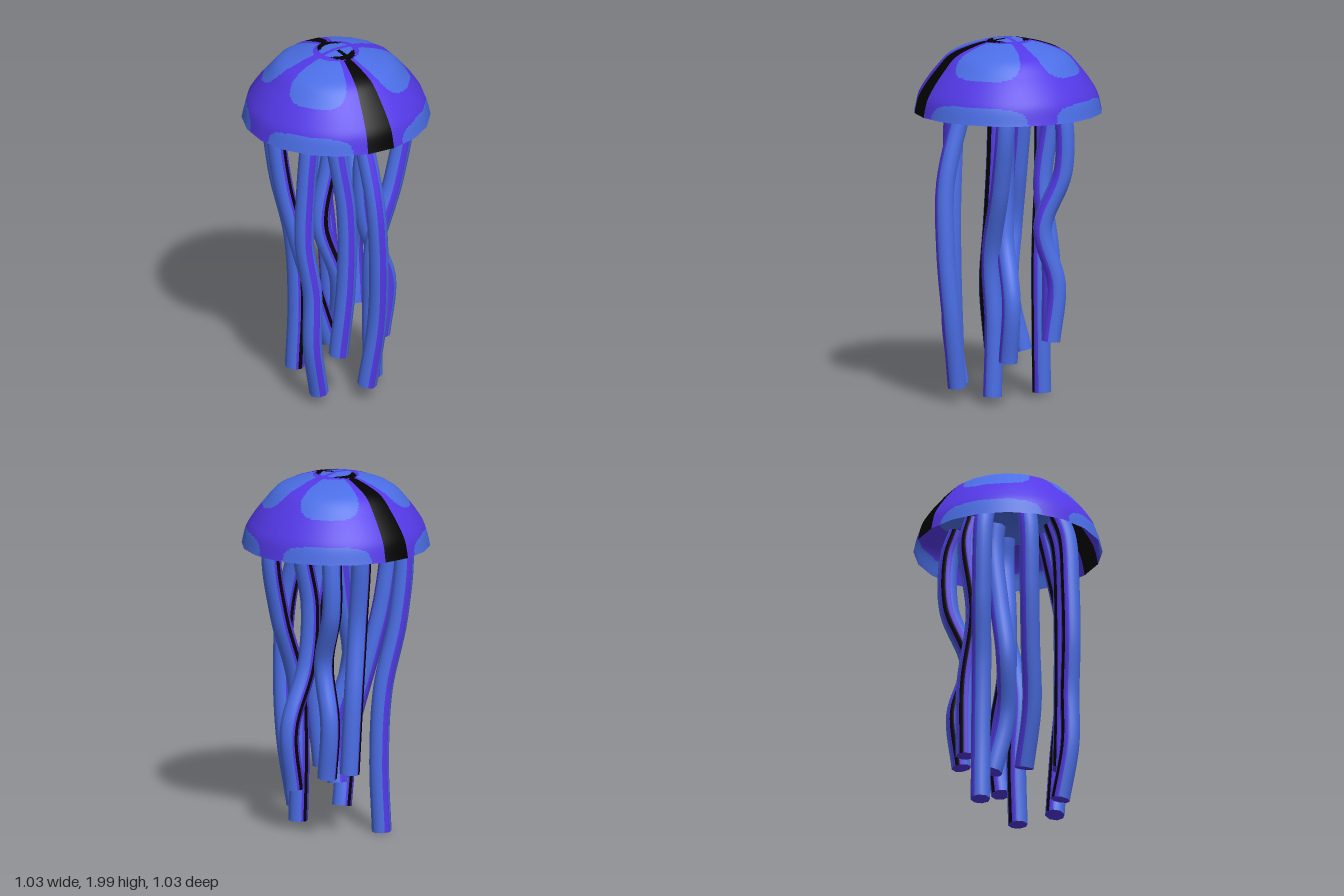
import * as THREE from 'three';

const mats = [
  new THREE.MeshStandardMaterial({ name: 'blue', color: 0x4b6ee6, side: THREE.DoubleSide }),
  new THREE.MeshStandardMaterial({ name: 'purple', color: 0x5439e8, side: THREE.DoubleSide }),
  new THREE.MeshStandardMaterial({ name: 'black', color: 0x020202, side: THREE.DoubleSide }),
];
const BLUE = 0, PURPLE = 1, BLACK = 2;

// Grid surface running downward by rows and around by columns; colourAt picks each face's material.
function gridSurface(name, rows, cols, vertexAt, colourAt) {
  const pos = [], nor = [], lists = [[], [], []];
  for (let i = 0; i <= rows; i++) for (let j = 0; j <= cols; j++) {
    const [p, n] = vertexAt(i / rows, j);
    pos.push(p.x, p.y, p.z);
    nor.push(n.x, n.y, n.z);
  }
  for (let i = 0; i < rows; i++) for (let j = 0; j < cols; j++) {
    const a = i * (cols + 1) + j, b = a + cols + 1;
    lists[colourAt((i + 0.5) / rows, j)].push(a, b, b + 1, a, b + 1, a + 1);
  }
  const geo = new THREE.BufferGeometry();
  geo.setAttribute('position', new THREE.Float32BufferAttribute(pos, 3));
  geo.setAttribute('normal', new THREE.Float32BufferAttribute(nor, 3));
  geo.setIndex(lists.flat());
  let start = 0;
  lists.forEach((l, k) => { geo.addGroup(start, l.length, k); start += l.length; });
  const mesh = new THREE.Mesh(geo, mats);
  mesh.name = name;
  return mesh;
}

// Point on a regular polygon with flat sides, each split into 'split' columns
function polygonPoint(sides, split, j) {
  const step = (2 * Math.PI) / sides, k = Math.floor(j / split), t = (j % split) / split;
  const a = k * step, b = a + step;
  return [
    Math.sin(a) * (1 - t) + Math.sin(b) * t,
    Math.cos(a) * (1 - t) + Math.cos(b) * t,
    a + step * t,
  ];
}

// Crown pattern: black arcs front and back around four small blue patches
function crownColour(x, z) {
  if ((x / 0.088) ** 2 + (z / 0.125) ** 2 > 1) return PURPLE;
  if (Math.abs(z) > 0.085 - Math.abs(x) * 0.4) return BLACK;
  if (Math.abs(x) < 0.012 && z > 0.02) return BLACK;
  return Math.abs(z) < 0.012 ? PURPLE : BLUE;
}

// Bell: a 20-sided dome with a fourfold blob pattern
function makeBell() {
  const profile = new THREE.CatmullRomCurve3(
    [[0, 2], [0.11, 1.988], [0.21, 1.963], [0.32, 1.915], [0.395, 1.835], [0.455, 1.755], [0.492, 1.69], [0.515, 1.596]]
      .map(([r, y]) => new THREE.Vector3(r, y, 0)));
  const split = 16, sides = 20;
  const blob = (a, c, w, t) => Math.abs((a - c) / w) ** 3.5 + Math.abs(t) ** 3.5 < 1;
  return gridSurface('bell', 84, sides * split, (v, j) => {
    const p = profile.getPoint(v), t = profile.getTangent(v);
    if (v === 0) t.set(1, 0, 0);
    const [x, z, ang] = polygonPoint(sides, split, j);
    return [
      new THREE.Vector3(x * p.x, p.y, z * p.x),
      new THREE.Vector3(-t.y * Math.sin(ang), t.x, -t.y * Math.cos(ang)),
    ];
  }, (v, j) => {
    const { x: r, y } = profile.getPoint(v);
    const theta = ((j + 0.5) / (sides * split)) * 2 * Math.PI;
    if (r < 0.125) return crownColour(r * Math.sin(theta), r * Math.cos(theta));
    const a = (540 - theta * 180 / Math.PI) % 180;
    if (a < 18) return BLACK;
    // upper blobs and scallops along the rim
    const up = r < 0.25 ? (r - 0.25) / 0.18 : (r - 0.25) / 0.157, low = (y - 1.58) / 0.11;
    for (const [c, w] of [[56, 29], [138, 34]]) {
      if (blob(a, c, w, up) || blob(a, c, w, low)) return BLUE;
    }
    return PURPLE;
  });
}

// Tentacle: an eight-sided tube with lengthwise stripes
const R = 0.054, COLUMNS = 24;

function stripeColour(k) {
  if (k === 11 || k === 12) return BLACK;
  if (k === 0 || k === 10 || k === 13 || k === 14 || k > 21) return PURPLE;
  return BLUE;
}

// bends holds x, z pairs, spaced evenly in height from the bell's rim to the tip
function makeTentacle(shift, tipY, ...bends) {
  const rimY = 1.6, last = bends.length / 2 - 1;
  const points = [new THREE.Vector3(bends[0] * 0.85, 1.75, bends[1] * 0.85)];
  for (let i = 0; i <= last; i++) {
    points.push(new THREE.Vector3(bends[2 * i], rimY + (tipY - rimY) * (i / last), bends[2 * i + 1]));
  }
  const curve = new THREE.CatmullRomCurve3(points);
  const group = new THREE.Group();
  group.name = 'tentacle';
  group.add(gridSurface('tentacleTube', 40, COLUMNS, (v, j) => {
    const p = curve.getPoint(v), t = curve.getTangent(v);
    const zAxis = new THREE.Vector3(0, 0, 1).addScaledVector(t, -t.z).normalize();
    const xAxis = new THREE.Vector3().crossVectors(zAxis, t);
    const [x, z, ang] = polygonPoint(8, COLUMNS / 8, j);
    return [
      p.addScaledVector(xAxis, x * R).addScaledVector(zAxis, z * R),
      xAxis.multiplyScalar(Math.sin(ang)).addScaledVector(zAxis, Math.cos(ang)),
    ];
  }, (v, j) => stripeColour((j - shift + COLUMNS) % COLUMNS)));
  // closed tip
  const tip = new THREE.Mesh(new THREE.CircleGeometry(R, 8), mats[PURPLE]);
  tip.name = 'tentacleTip';
  tip.position.copy(curve.getPoint(1));
  tip.quaternion.setFromUnitVectors(new THREE.Vector3(0, 0, 1), curve.getTangent(1));
  group.add(tip);
  return group;
}

// Stripe rotation, tip height, then x, z at each bend
const tentacles = [
  [0, 0.06, -0.31, 0.17, -0.34, 0.17, -0.35, 0.17, -0.31, 0.19, -0.31, 0.19, -0.25, 0.17],
  [0, 0.09, -0.03, 0.27, -0.02, 0.37, 0, 0.38, 0.01, 0.35, -0.02, 0.3],
  [0, 0.05, 0.33, 0.18, 0.26, 0.18, 0.13, 0.17, 0.13, 0.15, 0.13, 0.16],
  [0, 0.25, 0.17, 0.1, 0.12, 0.08, 0.14, 0.09, 0.26, 0.11, 0.22, 0.11],
  [2, 0.35, 0.27, -0.2, 0.27, -0.2, 0.22, -0.1, 0.25, -0.17, 0.24, -0.14],
  [12, 0.28, 0.05, -0.06, 0, -0.06, -0.06, -0.06, 0.02, 0, 0.06, -0.06],
  [13, 0.28, -0.33, -0.1, -0.31, -0.08, -0.25, -0.03, -0.18, 0.03, -0.08, 0.05],
  [0, 0.29, -0.18, 0.22, -0.14, 0.27, -0.14, 0.27, -0.17, 0.24],
  [12, 0.01, -0.2, -0.31, -0.17, -0.3, -0.1, -0.25, -0.08, -0.24, -0.09, -0.25],
  [2, 0.36, 0.06, -0.23, 0.04, -0.19, 0.1, -0.21, 0.12, -0.2],
];

export function createModel() {
  const model = new THREE.Group();
  model.name = 'jellyfish';
  model.add(makeBell());
  for (const spec of tentacles) model.add(makeTentacle(...spec));
  return model;
}
